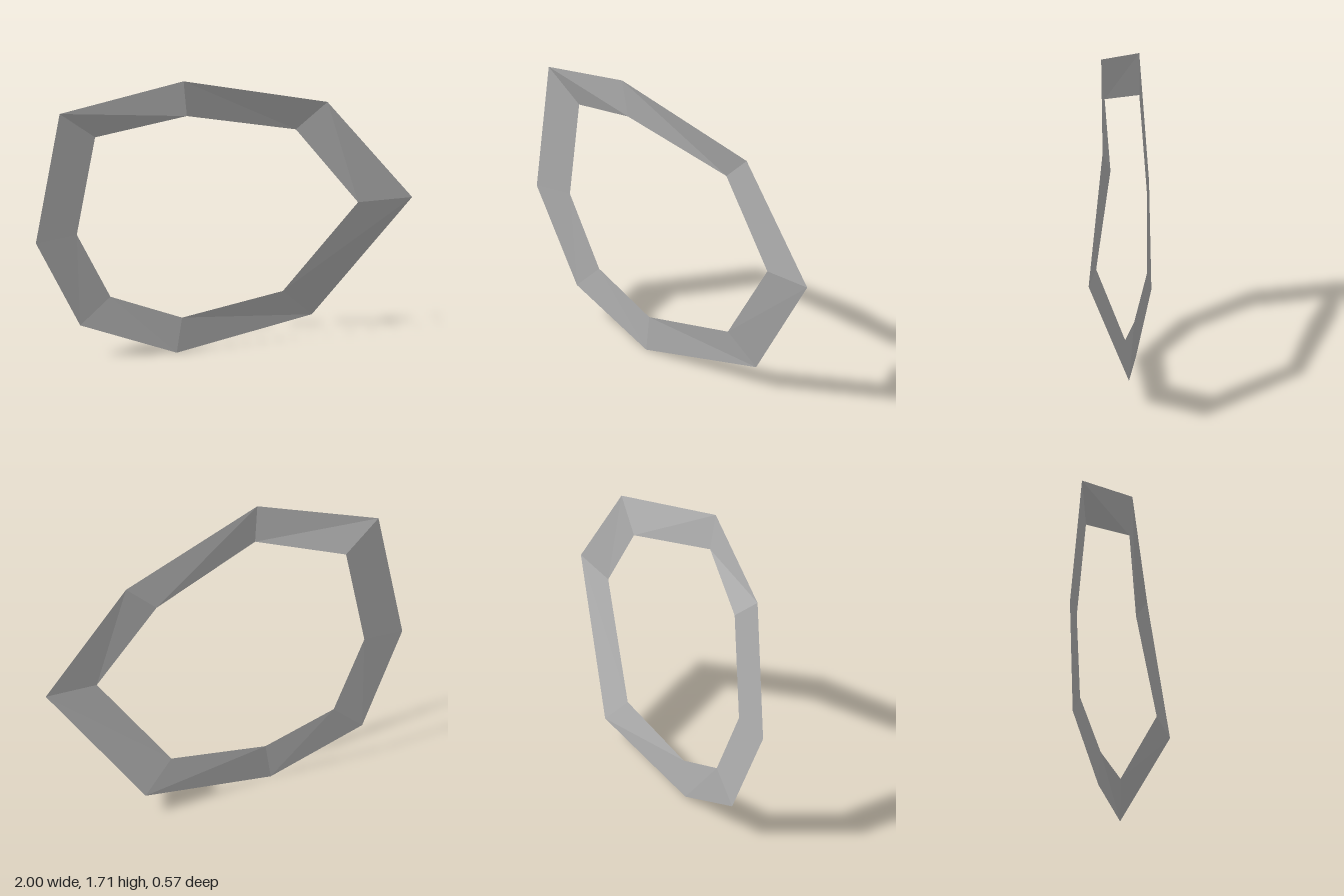
import * as THREE from 'three';

// Outer and inner corners of each joint around the twisted band
const joints = [
  [[-0.87, 1.52, 0.285], [-0.685, 1.35, 0.198]],
  [[-0.2, 1.71, 0.2], [-0.185, 1.49, 0.172]],
  [[0.55, 1.46, -0.16], [0.38, 1.302, -0.128]],
  [[1.0, 0.855, -0.287], [0.713, 0.85, -0.198]],
  [[0.452, 0.133, -0.273], [0.303, 0.307, -0.18]],
  [[-0.257, 0, 0.018], [-0.228, 0.21, 0.015]],
  [[-0.77, 0.205, 0.165], [-0.61, 0.362, 0.115]],
  [[-1.0, 0.74, 0.287], [-0.785, 0.763, 0.2]],
];

export function createModel() {
  const group = new THREE.Group();
  group.name = 'octagonalBand';
  const grey = new THREE.MeshStandardMaterial({ color: 0xb2b2b2, flatShading: true, side: THREE.DoubleSide });
  grey.name = 'grey';

  // One flat panel between each pair of neighbouring joints
  joints.forEach(([outerA, innerA], i) => {
    const [outerB, innerB] = joints[(i + 1) % joints.length];
    const geometry = new THREE.BufferGeometry();
    geometry.setAttribute('position', new THREE.Float32BufferAttribute(
      [outerA, innerA, innerB, outerA, innerB, outerB].flat(), 3));
    geometry.computeVertexNormals();
    const panel = new THREE.Mesh(geometry, grey);
    panel.name = `bandPanel${i + 1}`;
    group.add(panel);
  });
  return group;
}
